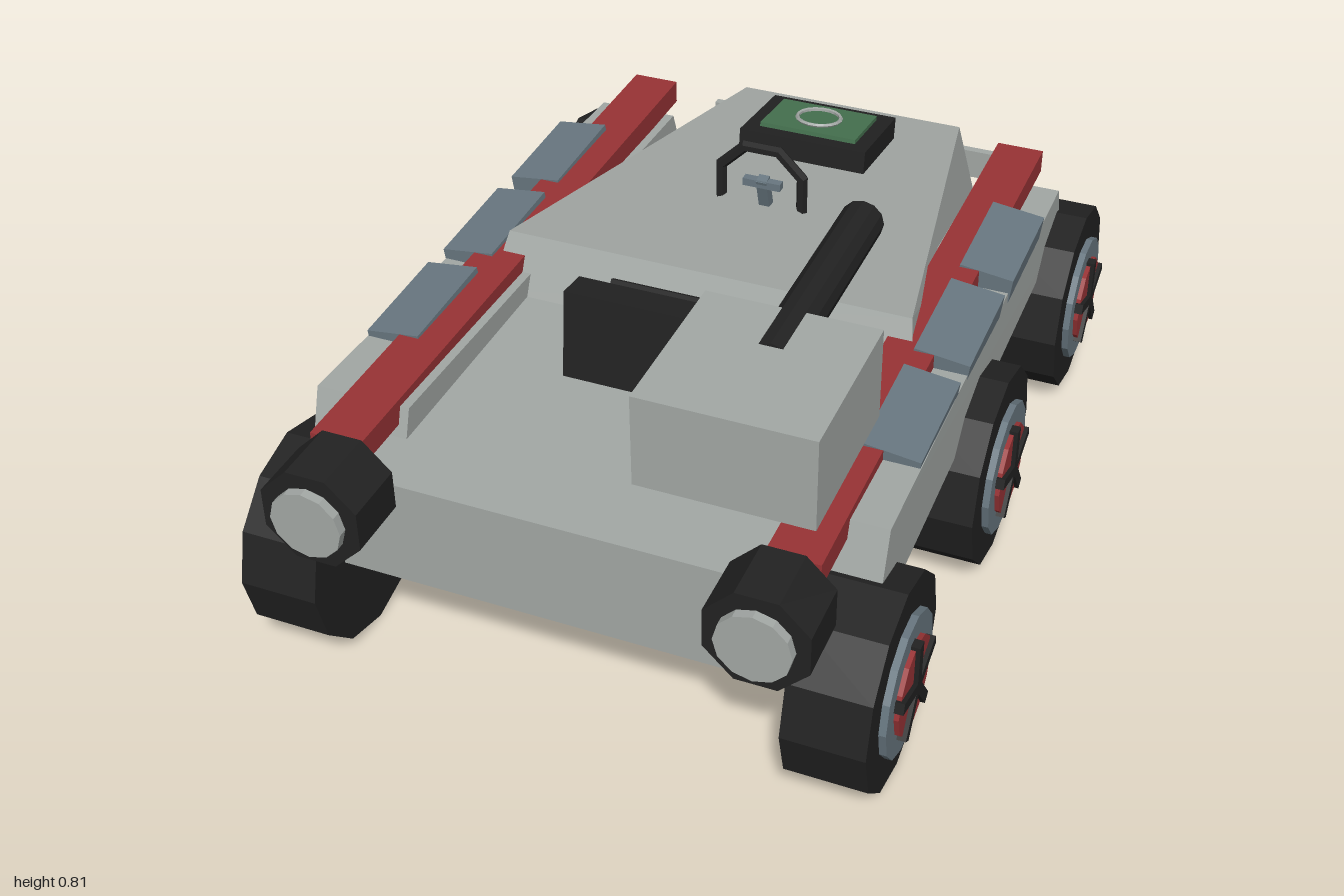
import * as THREE from 'three';

const mat = (name, color) => {
  const m = new THREE.MeshStandardMaterial({ color });
  m.name = name;
  return m;
};

export function createModel() {
  const root = new THREE.Group();
  root.name = 'sixWheeledRover';

  const hullGrey = mat('hull grey', 0xa3a8a5);
  const black = mat('rubber black', 0x222222);
  const red = mat('rail red', 0x983335);
  const steel = mat('blue steel', 0x687780);
  const green = mat('screen green', 0x467350);

  // Adds a faceted mesh
  const add = (name, geo, material, pos = [0, 0, 0], rot = [0, 0, 0], parent = root) => {
    const g = geo.index ? geo.toNonIndexed() : geo;
    g.computeVertexNormals();
    const m = new THREE.Mesh(g, material);
    m.name = name;
    m.position.set(...pos);
    m.rotation.set(...rot);
    parent.add(m);
    return m;
  };
  const box = (w, h, d) => new THREE.BoxGeometry(w, h, d);
  const cylX = (r, len, n) => new THREE.CylinderGeometry(r, r, len, n).rotateZ(Math.PI / 2);
  const cylZ = (r, len, n, turn = 0) =>
    new THREE.CylinderGeometry(r, r, len, n).rotateY(turn).rotateX(Math.PI / 2);

  // Closed loft through four-cornered sections, listed back to front
  const loft = (sections) => {
    const index = [];
    const last = (sections.length - 1) * 4;
    for (let s = 0; s < last; s += 4) {
      for (let i = 0; i < 4; i++) {
        const a = s + i, b = s + (i + 1) % 4;
        index.push(a, b, b + 4, a, b + 4, a + 4);
      }
    }
    index.push(0, 2, 1, 0, 3, 2, last, last + 1, last + 2, last, last + 2, last + 3);
    const g = new THREE.BufferGeometry();
    g.setAttribute('position', new THREE.Float32BufferAttribute(sections.flat(2), 3));
    g.setIndex(index);
    return g;
  };

  // Hull: tapered rear, raised hood, step down to the flat front deck
  const station = (xb, yb, zb, xt, yt, zt) =>
    [[-xb, yb, zb], [xb, yb, zb], [xt, yt, zt], [-xt, yt, zt]];
  add('hull', loft([
    station(0.335, 0.21, -0.985, 0.285, 0.505, -0.905),
    station(0.495, 0.23, 0.09, 0.465, 0.608, 0.09),
    station(0.495, 0.232, 0.15, 0.49, 0.485, 0.15),
    station(0.49, 0.242, 0.84, 0.49, 0.485, 0.84),
  ]), hullGrey);

  for (const s of [-1, 1]) {
    const side = s > 0 ? 'left' : 'right';

    // Side sponson with sloped ends
    const end = (z0, z1, xo, top) => {
      const a = s > 0 ? 0.4 : -xo, b = s > 0 ? xo : -0.4;
      return [[a, 0.355, z0], [b, 0.355, z0], [b, top, z1], [a, top, z1]];
    };
    add(side + 'Sponson', loft([
      end(-0.75, -0.69, 0.592, 0.508),
      end(0.745, 0.68, 0.61, 0.548),
    ]), hullGrey);

    // Long rail and the three armour plates beside it
    add(side + 'Rail', box(0.11, 0.055, 1.6), red, [s * 0.475, 0.538, 0.04]);
    for (const z of [0.345, 0.005, -0.335]) {
      add(side + 'ArmourPlate', box(0.122, 0.06, 0.27), steel,
        [s * 0.543, 0.538, z], [0.03, 0, -s * 0.13]);
    }

    // Headlamp
    add(side + 'HeadlampHousing', cylZ(0.113, 0.14, 8, Math.PI / 8), black, [s * 0.457, 0.475, 0.91]);
    add(side + 'HeadlampLens', cylZ(0.077, 0.03, 12), hullGrey, [s * 0.457, 0.475, 0.985]);

    // Tail plate
    add(side + 'TailPlate', box(0.16, 0.075, 0.02), hullGrey, [s * 0.322, 0.362, -0.99]);

    // Wheels
    for (const z of [0.73, 0.02, -0.69]) {
      const wheel = new THREE.Group();
      wheel.name = side + 'Wheel';
      wheel.position.set(s * 0.58, 0.224, z);
      if (s < 0) wheel.rotation.y = Math.PI;
      add('tyre', cylX(0.224, 0.17, 12), black, [0, 0, 0], [0, 0, 0], wheel);
      add('rim', cylX(0.15, 0.06, 14), steel, [0.07, 0, 0], [0, 0, 0], wheel);
      add('hub', cylX(0.103, 0.06, 12), red, [0.08, 0, 0], [0, 0, 0], wheel);
      for (let i = 0; i < 5; i++) {
        add('spoke', box(0.03, 0.108, 0.024).translate(0, 0.054, 0), black,
          [0.104, 0, 0], [i * Math.PI * 2 / 5, 0, 0], wheel);
      }
      root.add(wheel);
    }
  }

  // Seat back with its panel facing the rear
  const seat = new THREE.Group();
  seat.name = 'seat';
  seat.position.set(0, 0.58, 0.34);
  seat.rotation.x = -0.12;
  add('seatFrame', box(0.4, 0.2, 0.075), black, [0, 0, 0], [0, 0, 0], seat);
  add('seatPanel', box(0.31, 0.15, 0.02), steel, [0, 0, -0.043], [0, 0, 0], seat);
  root.add(seat);

  // Dashboard strip on the step of the hood
  add('dashboard', box(0.41, 0.06, 0.015), black, [0, 0.535, 0.132], [-0.45, 0, 0]);

  // Steering wheel: open ring on a T-shaped column
  add('steeringRing', new THREE.TorusGeometry(0.105, 0.014, 6, 5, Math.PI * 1.25).rotateZ(-Math.PI / 8),
    black, [0, 0.632, -0.255]);
  add('steeringColumn', box(0.025, 0.09, 0.025), steel, [0, 0.605, -0.275], [0.3, 0, 0]);
  add('steeringBar', box(0.09, 0.018, 0.02), steel, [0, 0.637, -0.262]);

  // Rear display on the hood
  const display = new THREE.Group();
  display.name = 'rearDisplay';
  display.position.set(0, 0.564, -0.645);
  display.rotation.x = -0.13;
  add('displayFrame', box(0.315, 0.055, 0.245), black, [0, 0, 0], [0, 0, 0], display);
  add('displayScreen', box(0.24, 0.02, 0.17), green, [0, 0.028, 0], [0, 0, 0], display);
  add('displayRing', new THREE.TorusGeometry(0.053, 0.005, 5, 18).rotateX(Math.PI / 2),
    hullGrey, [0, 0.042, 0], [0, 0, 0], display);
  root.add(display);

  // Gun box with its barrel pointing to the rear
  add('gunBox', box(0.365, 0.205, 0.37), hullGrey, [0.318, 0.7, 0.605]);
  add('gunBarrel', cylZ(0.047, 0.55, 12), black, [0.32, 0.763, 0.275]);

  return root;
}
